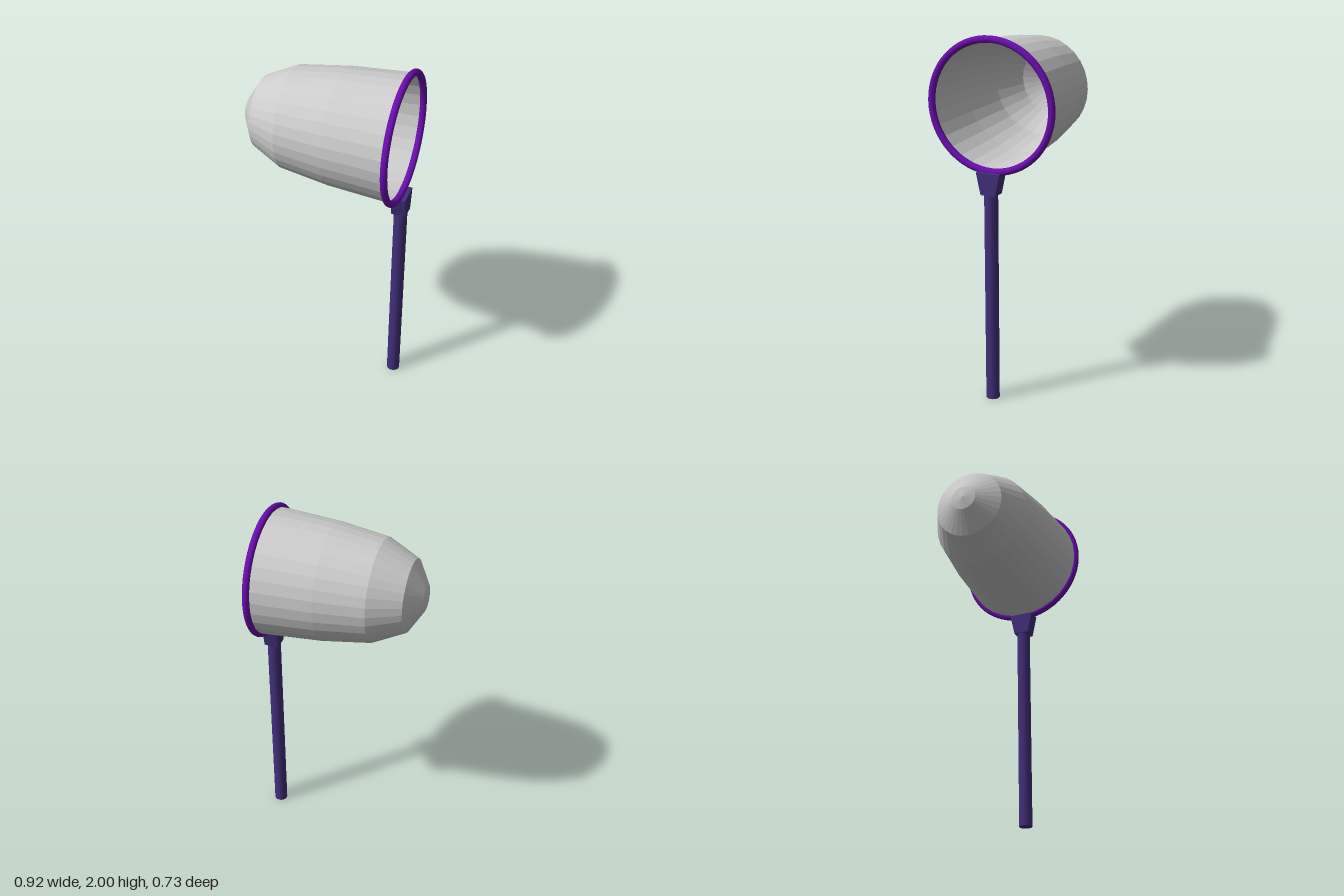
import * as THREE from 'three';

const POLE_X = 0.417;
const HOOP_Y = 1.637;

export function createModel() {
  const model = new THREE.Group();
  model.name = 'handNet';

  const add = (name, geometry, material, x, y) => {
    const mesh = new THREE.Mesh(geometry, material);
    mesh.name = name;
    mesh.position.set(x, y, 0);
    model.add(mesh);
  };

  const fabric = new THREE.MeshStandardMaterial({
    color: 0xcccccc, flatShading: true, side: THREE.DoubleSide,
  });
  const purple = new THREE.MeshStandardMaterial({ color: 0x6a0dad });
  const indigo = new THREE.MeshStandardMaterial({ color: 0x432f7c });

  // Faceted open bag: [radius, x], turned so its axis lies along x
  const profile = [
    [0, -0.46], [0.072, -0.445], [0.197, -0.37],
    [0.28, -0.2], [0.319, 0.07], [0.343, POLE_X],
  ].map(([r, x]) => new THREE.Vector2(r, x));
  add('netBag', new THREE.LatheGeometry(profile, 32).rotateZ(-Math.PI / 2), fabric, 0, HOOP_Y);

  // Hoop around the mouth of the bag
  add('hoop', new THREE.TorusGeometry(0.345, 0.019, 12, 64).rotateY(Math.PI / 2),
    purple, POLE_X, HOOP_Y);

  // Collar: a block that narrows in z towards the pole
  const collar = new THREE.BoxGeometry(0.08, 0.12, 0.136);
  const pos = collar.attributes.position;
  for (let i = 0; i < pos.count; i++) {
    if (pos.getY(i) < 0) pos.setZ(i, Math.sign(pos.getZ(i)) * 0.042);
  }
  collar.computeVertexNormals();
  add('collar', collar, indigo, POLE_X, 1.23);

  // Pole
  add('pole', new THREE.CylinderGeometry(0.037, 0.037, 1.2, 16), indigo, POLE_X, 0.6);

  return model;
}
